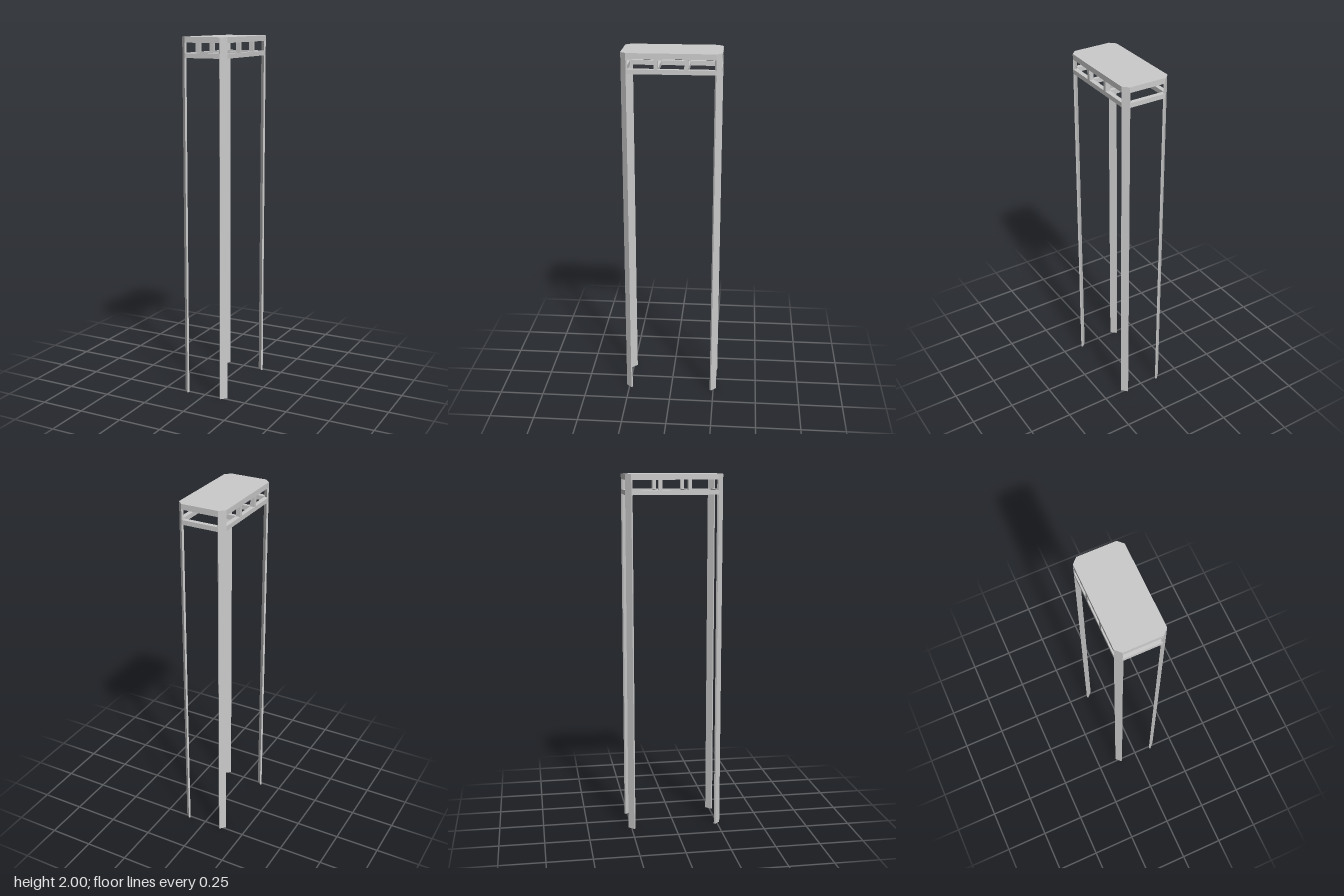
import * as THREE from 'three';

const HX = 0.135, HZ = 0.267, CUT = 0.03; // half footprint and corner cut
const RAIL = 0.025, TOP = 1.99;

export function createModel() {
  const model = new THREE.Group();
  const mat = new THREE.MeshStandardMaterial({ color: 0xcccccc, flatShading: true });

  const box = (name, w, h, d, x, y, z) => {
    const mesh = new THREE.Mesh(new THREE.BoxGeometry(w, h, d), mat);
    mesh.name = name;
    mesh.position.set(x, y, z);
    model.add(mesh);
    return mesh;
  };

  // Thin top board with cut corners
  const outline = new THREE.Shape([
    [HX, HZ - CUT], [HX - CUT, HZ], [CUT - HX, HZ], [-HX, HZ - CUT],
    [-HX, CUT - HZ], [CUT - HX, -HZ], [HX - CUT, -HZ], [HX, CUT - HZ],
  ].map(([x, z]) => new THREE.Vector2(x, z)));
  const board = new THREE.Mesh(
    new THREE.ExtrudeGeometry(outline, { depth: 2 - TOP, bevelEnabled: false }).rotateX(-Math.PI / 2), mat);
  board.name = 'topBoard';
  board.position.y = TOP;
  model.add(board);

  // Flat legs set diagonally across the four corners
  const thick = 0.0106;
  const inset = thick / 2 / Math.SQRT2;
  for (const sx of [-1, 1]) for (const sz of [-1, 1]) {
    const leg = box('leg', CUT * Math.SQRT2, TOP, thick,
      sx * (HX - CUT / 2 - inset), TOP / 2, sz * (HZ - CUT / 2 - inset));
    leg.rotation.y = sx * sz * Math.PI / 4;
  }

  // Upper and lower frames, each with two cross beams
  for (const [level, y0, y1] of [['upper', 1.97, TOP], ['lower', 1.89, 1.915]]) {
    const h = y1 - y0, y = (y0 + y1) / 2;
    for (const s of [-1, 1]) {
      box(level + 'EndRail', 2 * (HX - CUT), h, RAIL, 0, y, s * (HZ - RAIL / 2));
      box(level + 'SideRail', RAIL, h, 2 * (HZ - CUT), s * (HX - RAIL / 2), y, 0);
      box(level + 'CrossBeam', 2 * (HX - RAIL), h, 0.02, 0, y, s * 0.08);
    }
  }

  // Short posts joining the two frames along the sides
  for (const sx of [-1, 1]) for (const sz of [-1, 1])
    box('sidePost', RAIL, 0.055, 0.02, sx * (HX - RAIL / 2), 1.9425, sz * 0.08);

  // Lengthwise battens under the board
  for (const x of [-0.06, 0, 0.06])
    box('batten', 0.02, 0.01, 2 * (HZ - RAIL), x, TOP - 0.005, 0);

  return model;
}
